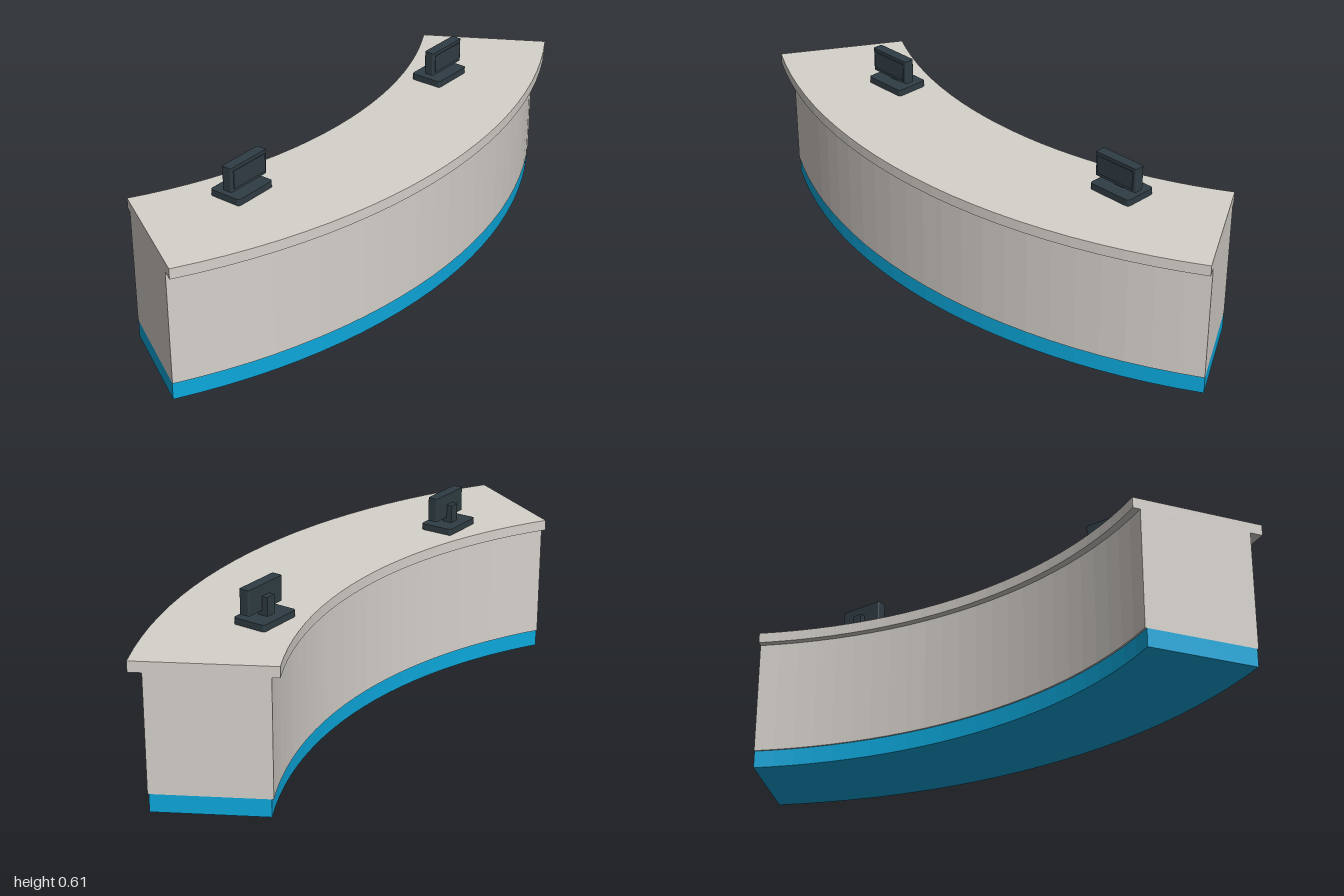
import * as THREE from 'three';

const stone = new THREE.MeshStandardMaterial({ color: 0xd6d1cb });
stone.name = 'warm grey';
const blue = new THREE.MeshStandardMaterial({ color: 0x0ca8dc });
blue.name = 'plinth blue';
const dark = new THREE.MeshStandardMaterial({ color: 0x303d44 });
dark.name = 'dark slate';

const CENTRE_Z = -1.672; // shared centre of all arcs

// Extrude a plan outline upwards from y0 to y1 (shape y is -z)
function slab(name, shape, y0, y1, material, curveSegments) {
  const geo = new THREE.ExtrudeGeometry(shape, { depth: y1 - y0, bevelEnabled: false, curveSegments });
  geo.rotateX(-Math.PI / 2);
  geo.translate(0, y0, 0);
  const mesh = new THREE.Mesh(geo, material);
  mesh.name = name;
  return mesh;
}

// Sixty degree ring sector bulging towards the front
function sector(inner, outer) {
  const a = -Math.PI * 2 / 3, b = -Math.PI / 3;
  const shape = new THREE.Shape();
  shape.absarc(0, -CENTRE_Z, outer, a, b, false);
  shape.absarc(0, -CENTRE_Z, inner, b, a, true);
  return shape;
}

// Rectangle with rounded corners, centred on z
function roundedRect(w, d, z, r) {
  const x = w / 2 - r, y = d / 2 - r, q = Math.PI / 2;
  const shape = new THREE.Shape();
  [[x, y], [-x, y], [-x, -y], [x, -y]].forEach(([cx, cy], i) =>
    shape.absarc(cx, cy - z, r, i * q, (i + 1) * q, false));
  return shape;
}

function box(name, w, y0, y1, z0, z1) {
  const mesh = new THREE.Mesh(new THREE.BoxGeometry(w, y1 - y0, z1 - z0), dark);
  mesh.position.set(0, (y0 + y1) / 2, (z0 + z1) / 2);
  mesh.name = name;
  return mesh;
}

function createMonitor(name, x) {
  const monitor = new THREE.Group();
  monitor.name = name;
  monitor.add(
    slab('monitorFoot', roundedRect(0.16, 0.118, -0.078, 0.01), 0.49, 0.513, dark, 4),
    box('monitorNeck', 0.035, 0.513, 0.575, -0.102, -0.067),
    slab('monitorHousing', roundedRect(0.166, 0.036, -0.064, 0.005), 0.53, 0.613, dark, 4),
    box('monitorScreen', 0.146, 0.541, 0.603, -0.044, -0.042),
  );
  monitor.position.x = x;
  return monitor;
}

export function createModel() {
  const model = new THREE.Group();
  model.name = 'receptionDesk';
  model.add(
    slab('plinth', sector(1.584, 1.953), 0, 0.06, blue, 12),
    slab('deskBody', sector(1.578, 1.957), 0.06, 0.455, stone, 12),
    slab('countertop', sector(1.553, 2), 0.455, 0.491, stone, 12),
    createMonitor('leftMonitor', 0.525),
    createMonitor('rightMonitor', -0.525),
  );
  return model;
}
